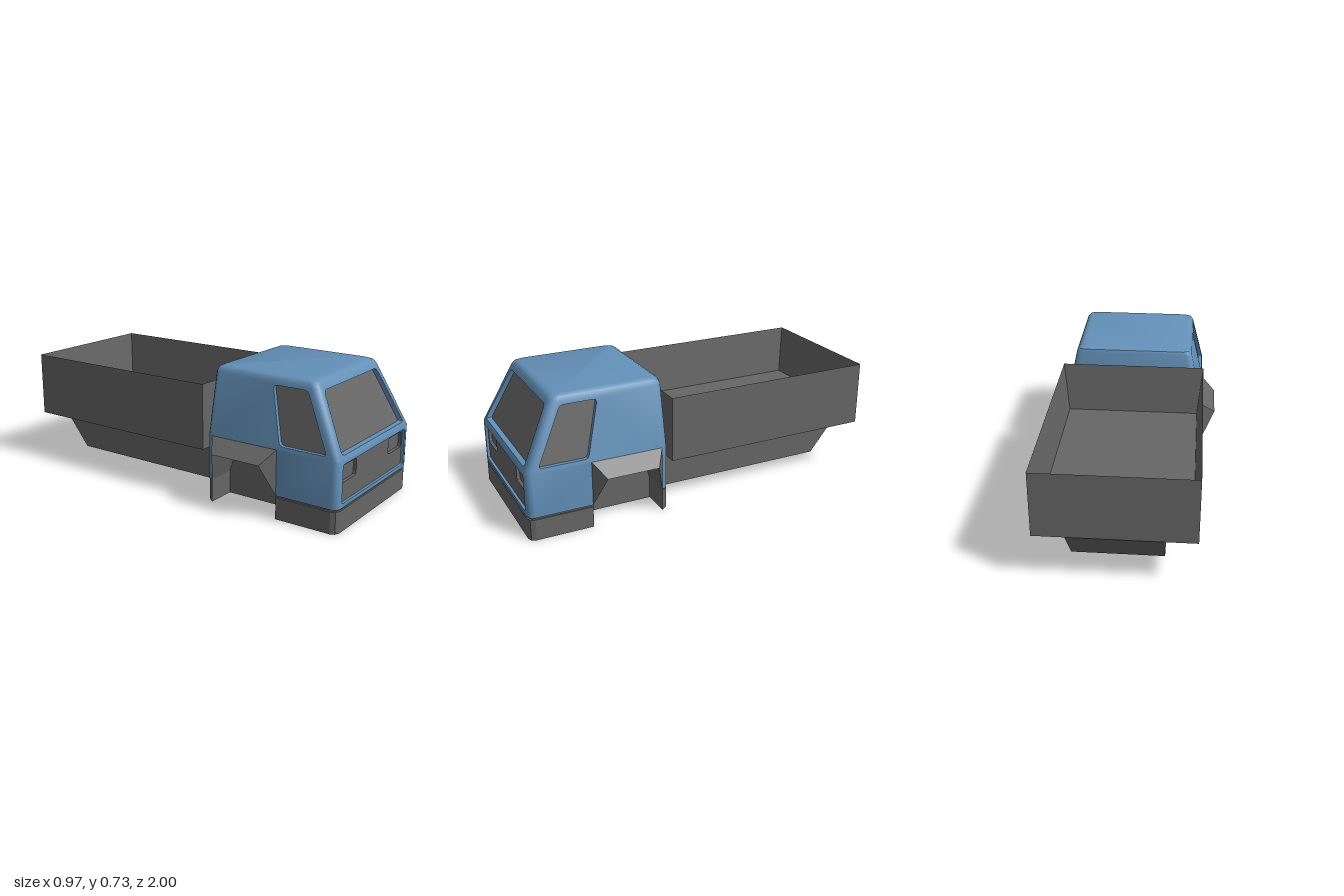
import * as THREE from 'three';
import { toCreasedNormals } from 'three/addons/utils/BufferGeometryUtils.js';

const paint = new THREE.MeshStandardMaterial({ color: 0x6390b8, side: THREE.DoubleSide });
paint.name = 'blue paint';
const grey = new THREE.MeshStandardMaterial({ color: 0x666666, side: THREE.DoubleSide });
grey.name = 'dark grey';

// ---- helpers: triangle lists are flat arrays of [x, y, z] points ----
const quad = (out, a, b, c, d) => out.push(a, b, c, a, c, d);

function soupMesh(name, pts, material, crease = 0.01) {
  const g = new THREE.BufferGeometry();
  g.setAttribute('position', new THREE.Float32BufferAttribute(pts.flat(), 3));
  const mesh = new THREE.Mesh(toCreasedNormals(g, crease), material);
  mesh.name = name;
  return mesh;
}

const ccw = (pts) => {
  const v = pts.map((p) => new THREE.Vector2(...p));
  return THREE.ShapeUtils.isClockWise(v) ? v.reverse() : v;
};

// flat panel with holes, placed in space by map(u, v, depth)
function panel(out, outline, holes, map, depth = 0) {
  const shape = new THREE.Shape(ccw(outline));
  holes.forEach((h) => shape.holes.push(new THREE.Path(ccw(h))));
  const g = new THREE.ShapeGeometry(shape).toNonIndexed();
  const p = g.attributes.position;
  for (let i = 0; i < p.count; i++) out.push(map(p.getX(i), p.getY(i), depth));
}

// wall of a recess running from depth d0 to d1
function lip(out, outline, map, d0, d1) {
  const v = ccw(outline);
  v.forEach((a, i) => {
    const b = v[(i + 1) % v.length];
    quad(out, map(a.x, a.y, d0), map(b.x, b.y, d0), map(b.x, b.y, d1), map(a.x, a.y, d1));
  });
}

// outline with softened corners
function soften(pts, r) {
  const v = pts.map((p) => new THREE.Vector2(...p));
  return v.flatMap((p, i) => {
    const a = v[(i + v.length - 1) % v.length].clone().sub(p).setLength(r);
    const b = v[(i + 1) % v.length].clone().sub(p).setLength(r);
    const mid = p.clone().addScaledVector(a, 0.25).addScaledVector(b, 0.25);
    return [p.clone().add(a), mid, p.clone().add(b)].map((q) => [q.x, q.y]);
  });
}

// plan outline at height y, four points round each corner
const C = 0.035;
function ring(y, hw, zf, zb) {
  const pts = [];
  for (let k = 0; k < 4; k++) {
    const cx = (k === 0 || k === 3 ? 1 : -1) * (hw - C);
    const cz = k < 2 ? zf - C : zb + C;
    for (let j = 0; j < 4; j++) {
      const a = ((k + j / 3) * Math.PI) / 2;
      pts.push([cx + C * Math.cos(a), y, cz + C * Math.sin(a)]);
    }
  }
  return pts;
}

function extrude(name, pts, depth, place) {
  const g = new THREE.ExtrudeGeometry(new THREE.Shape(ccw(pts)), { depth, bevelEnabled: false });
  place(g);
  const mesh = new THREE.Mesh(g, grey);
  mesh.name = name;
  return mesh;
}

function buildCab() {
  const cab = new THREE.Group();
  cab.name = 'cab';
  const body = [], glass = [], grille = [];
  const BELT = 0.37, BOT = 0.127;

  // rounded shell; the front and side faces are left open below the roof edge
  const rings = [
    ring(BOT, 0.405, 1, 0.225), ring(BELT, 0.405, 1, 0.225), ring(0.7, 0.335, 0.835, 0.225),
    ring(0.72, 0.322, 0.822, 0.231), ring(0.73, 0.3, 0.8, 0.25),
  ];
  for (let l = 0; l < 4; l++) {
    for (let i = 0; i < 16; i++) {
      if (l < 2 && [3, 7, 15].includes(i)) continue;
      const j = (i + 1) % 16;
      quad(body, rings[l][i], rings[l + 1][i], rings[l + 1][j], rings[l][j]);
    }
  }
  const top = rings[4];
  for (let i = 1; i < 15; i++) body.push(top[0], top[i + 1], top[i]);

  // front: grille opening below the belt, windscreen above
  const front = (u, v, d) => [u, v, 1 - 0.5 * Math.max(0, v - BELT) - d];
  const rect = (x0, x1, y0, y1) => [[x0, y0], [x1, y0], [x1, y1], [x0, y1]];
  const grilleHole = soften(rect(-0.355, 0.355, 0.147, 0.35), 0.015);
  const screen = soften([[-0.35, 0.39], [0.35, 0.39], [0.285, 0.68], [-0.285, 0.68]], 0.02);
  panel(body, rect(-0.37, 0.37, BOT, BELT), [grilleHole], front);
  panel(body, [[-0.37, BELT], [0.37, BELT], [0.3, 0.7], [-0.3, 0.7]], [screen], front);
  lip(body, grilleHole, front, 0, 0.015);
  lip(body, screen, front, 0, 0.03);
  panel(glass, screen, [], front, 0.03);

  // grille with recessed headlights
  const lamps = [-0.265, 0.265].map((x) => soften(rect(x - 0.08, x + 0.08, 0.247, 0.335), 0.015));
  panel(grille, grilleHole, lamps, front, 0.015);
  lamps.forEach((lamp) => {
    lip(grille, lamp, front, 0.015, 0.032);
    panel(grille, lamp, [], front, 0.032);
  });

  // sides with recessed windows
  for (const s of [1, -1]) {
    const map = (u, v, d) => [s * (0.405 - 0.2121 * Math.max(0, v - BELT) - d), v, -s * u];
    const flat = (pts) => pts.map(([z, y]) => [-s * z, y]);
    const win = soften(flat([[0.932, 0.39], [0.668, 0.39], [0.588, 0.68], [0.785, 0.68]]), 0.02);
    panel(body, flat([[0.655, BOT], [0.965, BOT], [0.965, BELT], [0.655, BELT]]), [], map);
    panel(body, flat([[0.26, BELT], [0.965, BELT], [0.8, 0.7], [0.26, 0.7]]), [win], map);
    lip(body, win, map, 0, 0.022);
    panel(glass, win, [], map, 0.022);
  }
  cab.add(soupMesh('cabBody', body, paint, 0.6), soupMesh('windows', glass, grey),
    soupMesh('grilleAndHeadlights', grille, grey));
  return cab;
}

// flared wheel arch with its inner well
function buildArch(s) {
  const t = [];
  const P = (x, y, z) => [s * x, y, z];
  const line = [[0.405, 0.11, 0.655], [0.405, 0.127, 0.655], [0.485, 0.298, 0.6],
    [0.485, 0.298, 0.315], [0.405, 0.127, 0.26], [0.405, 0.11, 0.26]];
  for (let i = 0; i < 5; i++) {
    const a = line[i], b = line[i + 1];
    quad(t, P(...a), P(...b), P(0.24, b[1], b[2]), P(0.24, a[1], a[2]));
  }
  panel(t, line.map(([, y, z]) => [z, y]), [], (z, y) => P(0.24, y, z));
  const f = P(0.405, 0.37, 0.655), r = P(0.405, 0.37, 0.26);
  quad(t, f, P(...line[2]), P(...line[3]), r);
  t.push(f, P(...line[1]), P(...line[2]), r, P(...line[3]), P(...line[4]));
  return soupMesh(s > 0 ? 'leftWheelArch' : 'rightWheelArch', t, grey);
}

// plan of the base, notched for the wheels
function basePlan(inset) {
  const w = 0.405 - inset, f = 1 - inset, b = 0.225 + inset;
  const half = [[w - C, f], [w - 0.01, f - 0.01], [w, f - C], [w, 0.655], [0.24, 0.655],
    [0.24, 0.26], [w, 0.26], [w - 0.03, b]];
  return [...half, ...half.map(([x, z]) => [-x, z]).reverse()];
}

// open load bed: outer walls, sloping inner walls and floor
function buildBed() {
  const t = [];
  const R = (y, x, f, b) => [[x, y, f], [-x, y, f], [-x, y, b], [x, y, b]];
  const rings = [R(0.28, 0.405, 0.2, -1), R(0.637, 0.405, 0.2, -1), R(0.355, 0.377, 0.172, -0.973)];
  for (let l = 0; l < 2; l++) {
    for (let i = 0; i < 4; i++) {
      const j = (i + 1) % 4;
      quad(t, rings[l][i], rings[l + 1][i], rings[l + 1][j], rings[l][j]);
    }
  }
  quad(t, ...rings[0]);
  quad(t, ...[...rings[2]].reverse());
  return soupMesh('loadBed', t, grey);
}

export function createModel() {
  const model = new THREE.Group();
  model.name = 'smallTruck';
  const lay = (y) => (g) => g.rotateX(Math.PI / 2).translate(0, y, 0);
  model.add(
    buildCab(), buildArch(1), buildArch(-1), buildBed(),
    extrude('bumperBase', basePlan(0), 0.116, lay(0.116)),
    extrude('baseGroove', basePlan(0.008), 0.014, lay(0.129)),
    // chassis profile in (-z, y), turned to run along x
    extrude('chassis', [[-0.25, 0.055], [0.815, 0.055], [0.998, 0.279], [-0.25, 0.279]], 0.48,
      (g) => g.translate(0, 0, -0.24).rotateY(Math.PI / 2)),
  );
  return model;
}
